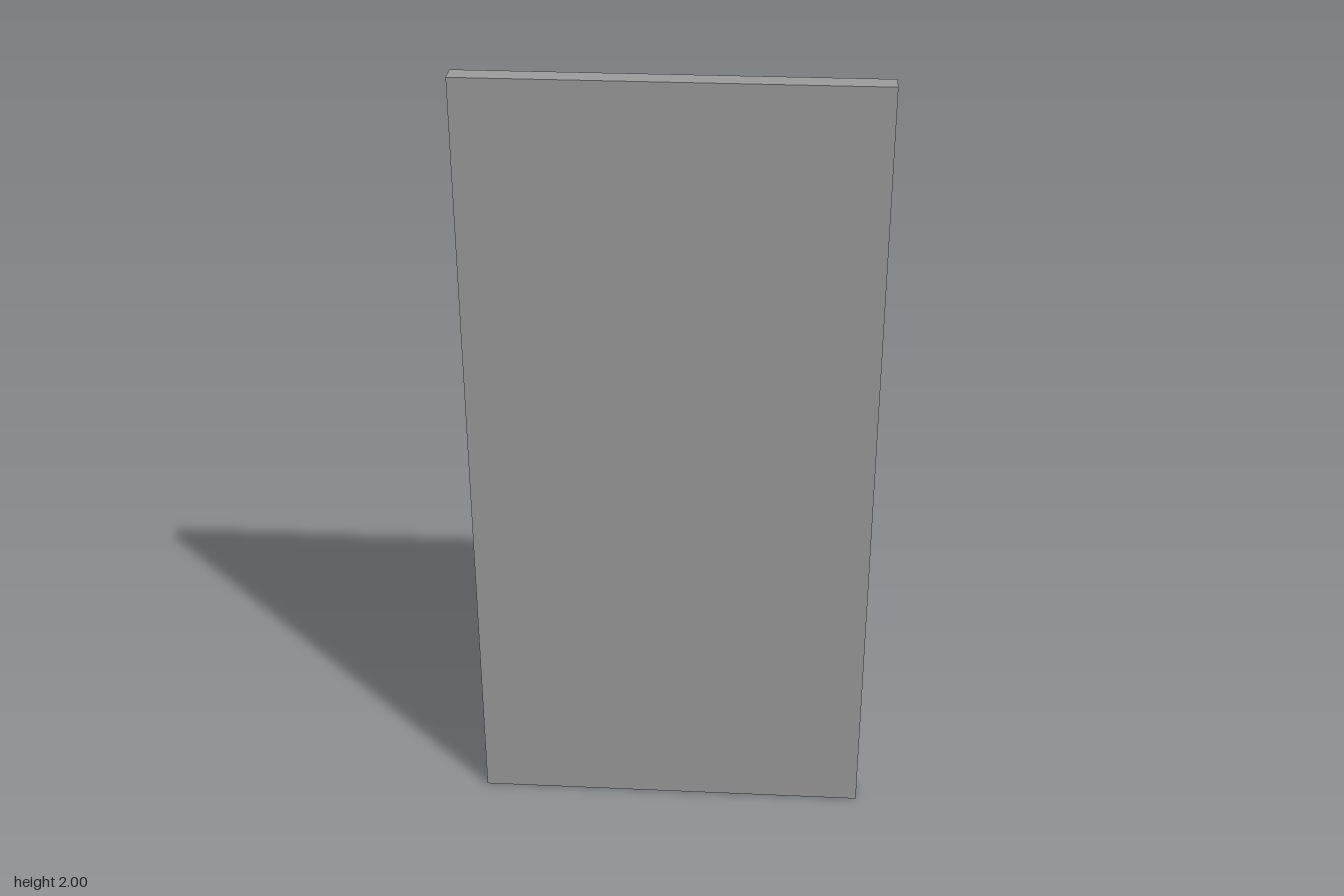
import * as THREE from 'three';

const WIDTH = 1, HEIGHT = 2, PANEL = 0.0275, FRAME = 0.025;
const BAR = 0.025; // width of the outer bars; the middle rail is twice as wide

function rectangle(target, x0, y0, x1, y1) {
  target.moveTo(x0, y0);
  target.lineTo(x1, y0);
  target.lineTo(x1, y1);
  target.lineTo(x0, y1);
  target.closePath();
  return target;
}

export function createModel() {
  const group = new THREE.Group();
  group.name = 'framedPanel';
  const material = new THREE.MeshStandardMaterial({ color: 0x9b9b9b });
  const back = -(PANEL + FRAME) / 2;

  // Flat front sheet
  const panel = new THREE.Mesh(new THREE.BoxGeometry(WIDTH, HEIGHT, PANEL), material);
  panel.name = 'frontPanel';
  panel.position.set(0, HEIGHT / 2, back + FRAME + PANEL / 2);
  group.add(panel);

  // Back frame with two openings, divided by the middle rail
  const outline = rectangle(new THREE.Shape(), -WIDTH / 2, 0, WIDTH / 2, HEIGHT);
  for (const y of [0, HEIGHT / 2]) {
    outline.holes.push(rectangle(new THREE.Path(),
      -WIDTH / 2 + BAR, y + BAR, WIDTH / 2 - BAR, y + HEIGHT / 2 - BAR));
  }
  const frame = new THREE.Mesh(
    new THREE.ExtrudeGeometry(outline, { depth: FRAME, bevelEnabled: false }), material);
  frame.name = 'backFrame';
  frame.position.z = back;
  group.add(frame);

  return group;
}
